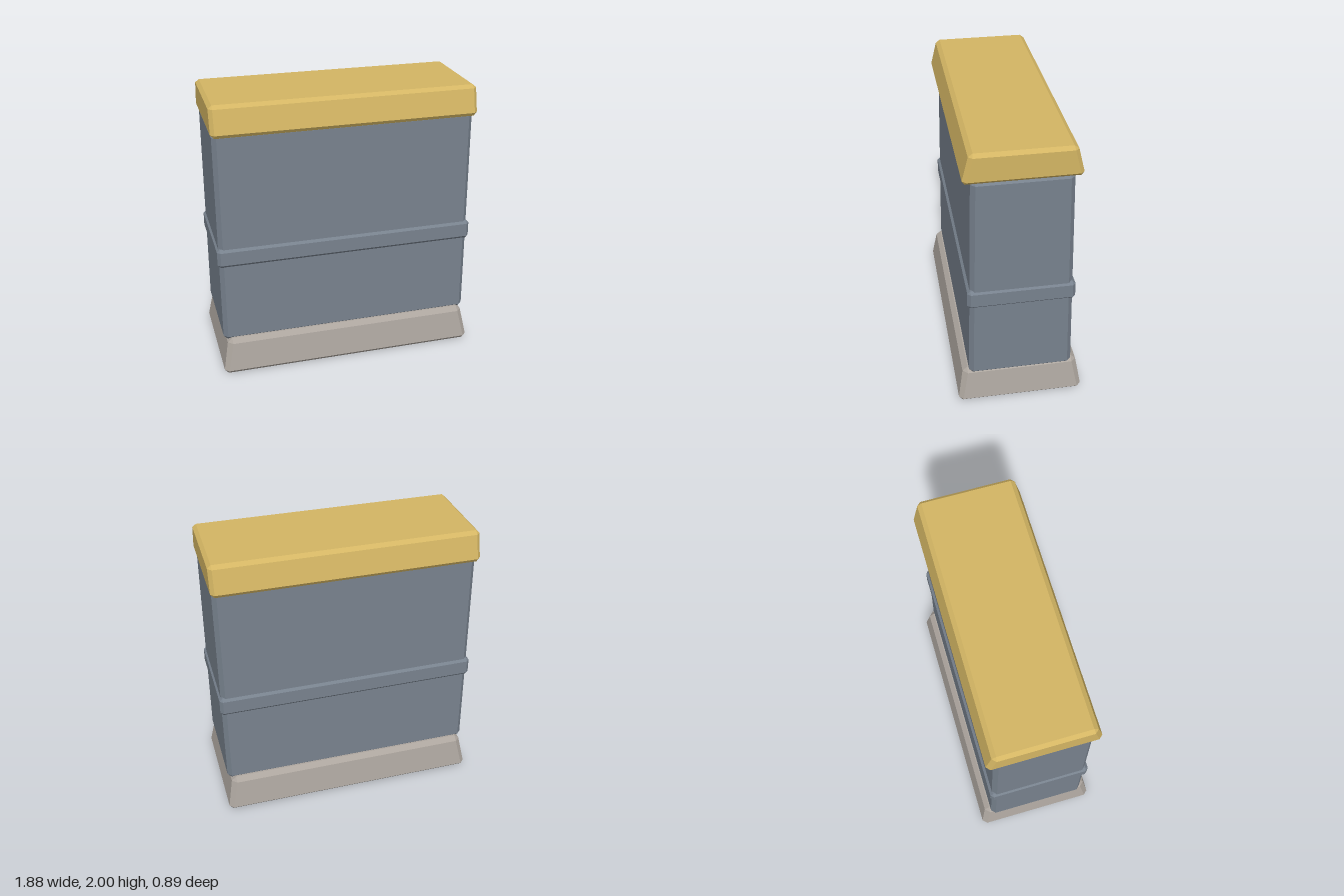
import * as THREE from 'three';

// Tapered block with every edge bevelled. Each ring is [y, halfX, halfZ, cornerCut].
function bevelledBlock(rings) {
  const pos = [], index = [];
  for (const [y, x, z, c] of rings) {
    const a = x - c, b = z - c;
    // eight corners, running from front (+z) to left (+x)
    for (const [px, pz] of [[-a, z], [a, z], [x, b], [x, -b], [a, -z], [-a, -z], [-x, -b], [-x, b]]) {
      pos.push(px, y, pz);
    }
  }
  const top = (rings.length - 1) * 8;
  for (let r = 0; r < top; r += 8) {
    for (let i = 0; i < 8; i++) {
      const j = (i + 1) % 8;
      index.push(r + i, r + j, r + 8 + j, r + i, r + 8 + j, r + 8 + i);
    }
  }
  for (let i = 1; i < 7; i++) {
    index.push(0, i + 1, i, top, top + i, top + i + 1);
  }
  const indexed = new THREE.BufferGeometry();
  indexed.setAttribute('position', new THREE.Float32BufferAttribute(pos, 3));
  indexed.setIndex(index);
  const geometry = indexed.toNonIndexed();
  geometry.computeVertexNormals();
  return geometry;
}

export function createModel() {
  const group = new THREE.Group();
  const stone = new THREE.MeshStandardMaterial({ color: 0xaca59e });
  stone.name = 'warm grey stone';
  const slate = new THREE.MeshStandardMaterial({ color: 0x77818d });
  slate.name = 'slate grey';
  const gold = new THREE.MeshStandardMaterial({ color: 0xd3b563 });
  gold.name = 'sand gold';

  const add = (name, material, rings) => {
    const mesh = new THREE.Mesh(bevelledBlock(rings), material);
    mesh.name = name;
    group.add(mesh);
  };

  // Flared plinth
  add('base', stone, [
    [0, 0.91, 0.415, 0], [0.03, 0.938, 0.443, 0.03],
    [0.235, 0.9, 0.408, 0.035], [0.265, 0.865, 0.373, 0],
  ]);
  // Wall, leaning inward at front and back
  add('wall', slate, [
    [0.24, 0.892, 0.337, 0], [0.27, 0.922, 0.364, 0.03],
    [1.775, 0.922, 0.331, 0.03], [1.805, 0.892, 0.3, 0],
  ]);
  // Raised belt around the middle
  add('belt', slate, [
    [0.83, 0.914, 0.348, 0], [0.853, 0.935, 0.368, 0.022],
    [0.95, 0.935, 0.366, 0.022], [0.97, 0.914, 0.345, 0],
  ]);
  // Sloping capstone
  add('cap', gold, [
    [1.788, 0.908, 0.365, 0], [1.813, 0.934, 0.383, 0.026],
    [1.978, 0.934, 0.342, 0.026], [2, 0.908, 0.312, 0],
  ]);
  return group;
}
